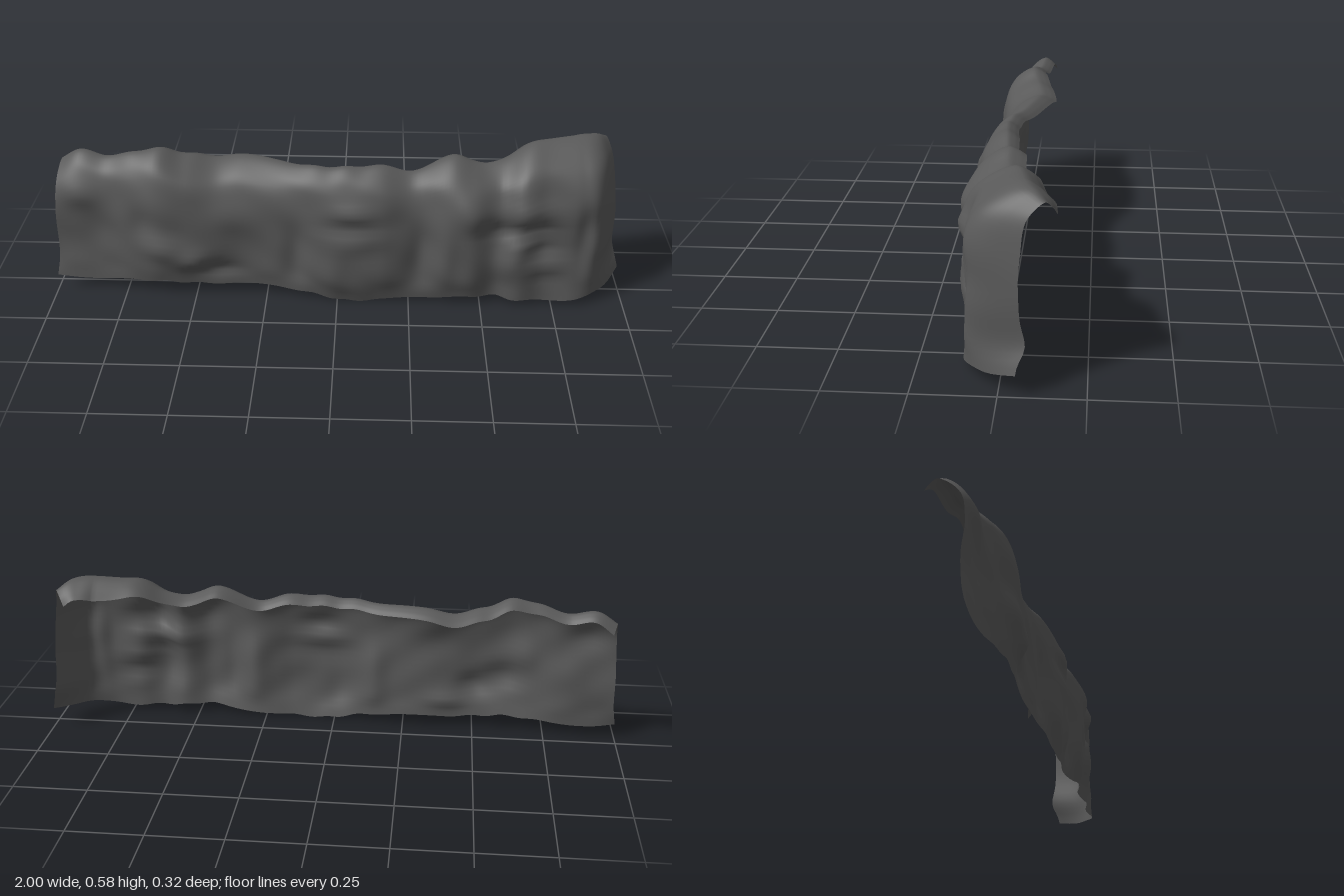
import * as THREE from 'three';

// Cross-sections along the wall: u, bottomY, topY, bottomZ, frontZ, lipZ
const SECTIONS = [
  [-1.00, 0.050, 0.470, 0.050, 0.045, -0.090],
  [-0.92, 0.045, 0.513, 0.048, 0.052, -0.080],
  [-0.79, 0.045, 0.495, 0.055, 0.065, -0.062],
  [-0.70, 0.050, 0.520, 0.070, 0.092, -0.050],
  [-0.62, 0.055, 0.535, 0.080, 0.112, -0.058],
  [-0.52, 0.050, 0.505, 0.080, 0.110, -0.085],
  [-0.42, 0.047, 0.488, 0.075, 0.095, -0.105],
  [-0.33, 0.045, 0.498, 0.070, 0.088, -0.092],
  [-0.20, 0.040, 0.497, 0.080, 0.100, -0.050],
  [-0.10, 0.028, 0.497, 0.095, 0.122, -0.010],
  [0.02, 0.006, 0.502, 0.105, 0.142, 0.005],
  [0.15, 0.010, 0.505, 0.105, 0.140, -0.005],
  [0.25, 0.018, 0.485, 0.095, 0.122, -0.010],
  [0.39, 0.028, 0.535, 0.110, 0.146, -0.043],
  [0.46, 0.038, 0.513, 0.120, 0.152, -0.047],
  [0.55, 0.034, 0.508, 0.100, 0.118, -0.055],
  [0.63, 0.025, 0.555, 0.120, 0.142, -0.090],
  [0.71, 0.024, 0.575, 0.105, 0.118, -0.113],
  [0.83, 0.027, 0.580, 0.112, 0.115, -0.140],
  [0.90, 0.040, 0.578, 0.080, 0.103, -0.150],
  [0.95, 0.048, 0.572, 0.030, 0.050, -0.157],
  [1.00, 0.072, 0.555, -0.050, -0.050, -0.160],
];

// Bulges and hollows on the face: x, y, radiusX, radiusY, depth
const RELIEF = [
  [-0.90, 0.38, 0.09, 0.045, 0.014], [-0.84, 0.22, 0.07, 0.070, -0.014],
  [-0.60, 0.20, 0.09, 0.045, 0.018], [-0.49, 0.16, 0.06, 0.040, 0.022],
  [-0.42, 0.10, 0.08, 0.030, -0.016], [-0.68, 0.28, 0.05, 0.060, -0.014],
  [-0.40, 0.31, 0.09, 0.060, 0.010], [-0.14, 0.18, 0.045, 0.110, -0.026],
  [-0.02, 0.13, 0.05, 0.080, 0.012], [0.05, 0.37, 0.09, 0.025, 0.010],
  [0.05, 0.31, 0.10, 0.020, -0.014], [0.07, 0.25, 0.08, 0.035, 0.010],
  [0.29, 0.20, 0.045, 0.120, -0.026], [0.37, 0.20, 0.04, 0.100, 0.012],
  [0.44, 0.38, 0.07, 0.060, 0.012], [0.63, 0.30, 0.11, 0.025, -0.028],
  [0.64, 0.38, 0.11, 0.030, 0.014], [0.59, 0.19, 0.04, 0.060, 0.018],
  [0.70, 0.23, 0.06, 0.025, -0.022], [0.72, 0.16, 0.07, 0.030, 0.014],
  [0.85, 0.30, 0.03, 0.090, -0.014], [0.97, 0.15, 0.05, 0.060, -0.018],
];

const relief = (x, y) => RELIEF.reduce((sum, [cx, cy, rx, ry, d]) =>
  sum + d * Math.exp(-(((x - cx) / rx) ** 2) - ((y - cy) / ry) ** 2), 0);

const sectionAt = new THREE.CubicInterpolant(
  SECTIONS.map((s) => s[0]), SECTIONS.flatMap((s) => s.slice(1)), 5);

// One vertical profile, from the foot up the face and back over the crest
function profileAt(u) {
  const [y0, y1, z0, zf, zl] = Array.from(sectionAt.evaluate(u));
  const y = (t) => THREE.MathUtils.lerp(y0, y1, t);
  const z = (t) => THREE.MathUtils.lerp(zf, zl, t);
  const end = Math.max(0, Math.abs(u) - 0.8) / 0.2;
  const taper = end * (u > 0 ? 1 : 0.5);
  // the lip hangs lower over the tall right-hand block
  const drop = 0.025 + 0.035 * THREE.MathUtils.smoothstep(u, 0.55, 0.8) - 0.015 * (u > 0 ? end : 0);
  // the x component holds how far the ends lean inwards
  return new THREE.CatmullRomCurve3([
    [0, y0, z0],
    [0.025, y(0.2), zf - 0.010],
    [0.03, y(0.45), zf - 0.006],
    [0.042, y(0.68), zf - 0.008],
    [0.055, y(0.85), z(0.12) - 0.008],
    [0.065, y(0.94), z(0.38)],
    [0.08, y1, z(0.7)],
    [0.095, y1 - drop * 0.4, z(0.87)],
    [0.11, y1 - drop, zl],
  ].map(([lean, py, pz]) => new THREE.Vector3(lean * taper * Math.sign(u), py, pz)));
}

function createSheet(columns, rows) {
  const positions = [], indices = [];
  for (let i = 0; i <= columns; i++) {
    const u = -1 + (2 * i) / columns;
    const profile = profileAt(u);
    for (let j = 0; j <= rows; j++) {
      const v = j / rows;
      const p = profile.getPoint(v);
      const x = u - p.x;
      // relief fades out at the foot and over the crest
      const fade = THREE.MathUtils.smoothstep(v, 0, 0.1) * (1 - THREE.MathUtils.smoothstep(v, 0.5, 0.75));
      const ripple = 0.004 * Math.sin(23 * x + 9 * p.y) * Math.sin(31 * p.y + 5 * x);
      // small uneven notches along the foot and crest
      const chip = 0.003 * Math.sin(38 * u + 2 * Math.sin(11 * u));
      positions.push(x, p.y + chip * (1 - fade), p.z + fade * (relief(x, p.y) + ripple));
      if (i < columns && j < rows) {
        const a = i * (rows + 1) + j, b = a + rows + 1;
        indices.push(a, b, b + 1, a, b + 1, a + 1);
      }
    }
  }
  const geometry = new THREE.BufferGeometry();
  geometry.setAttribute('position', new THREE.Float32BufferAttribute(positions, 3));
  geometry.setIndex(indices);
  geometry.computeVertexNormals();
  return geometry;
}

export function createModel() {
  const group = new THREE.Group();
  group.name = 'rockWall';
  const stone = new THREE.MeshStandardMaterial({ color: 0x595959, side: THREE.DoubleSide });
  stone.name = 'dark grey stone';
  const face = new THREE.Mesh(createSheet(140, 40), stone);
  face.name = 'rockFace';
  group.add(face);
  return group;
}
